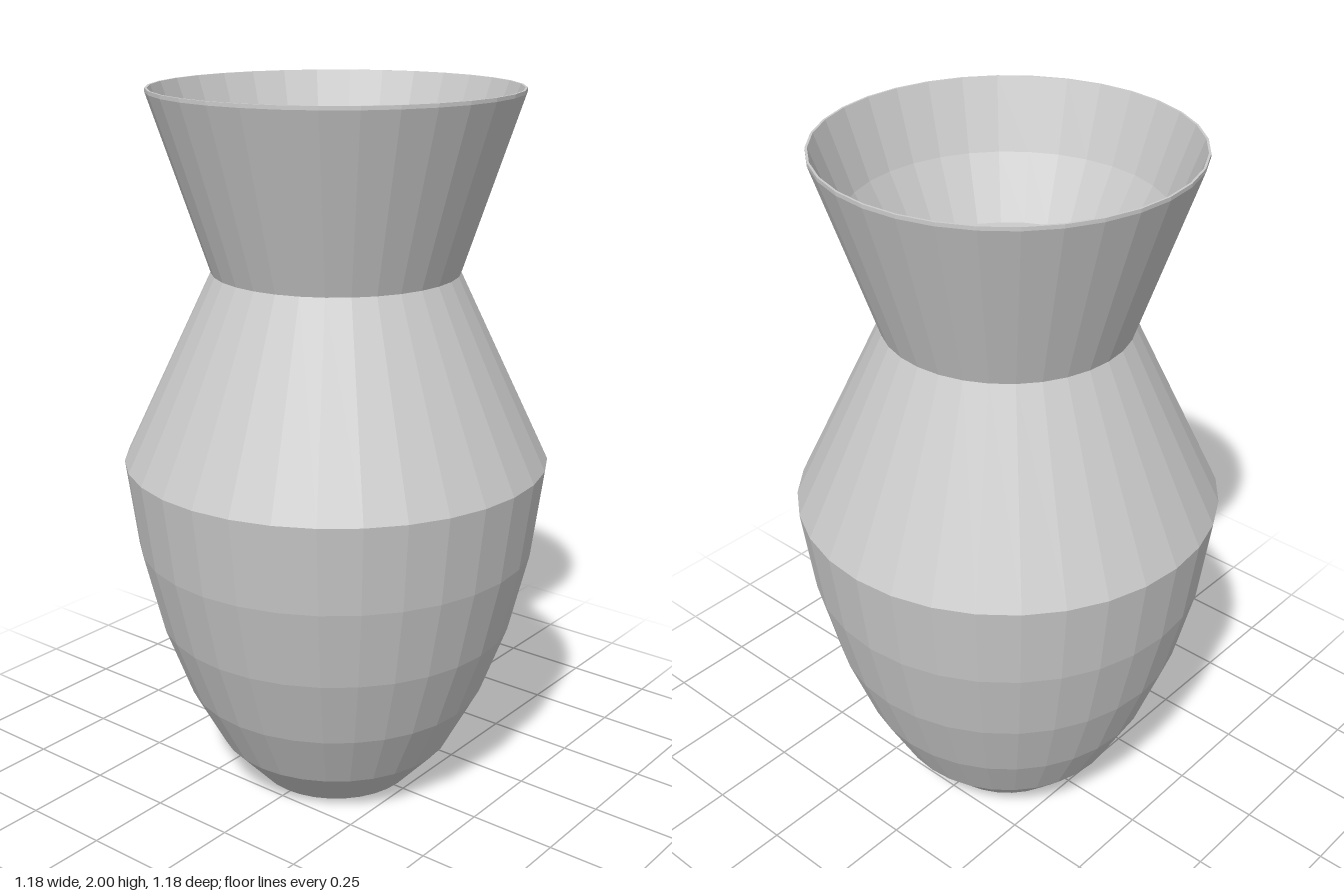
import * as THREE from 'three';

const SIDES = 32;

// Revolves a profile of [radius, height] pairs into a faceted part
function turned(name, profile) {
  const points = profile.map(([r, y]) => new THREE.Vector2(r, y));
  const material = new THREE.MeshStandardMaterial({
    color: 0xcccccc, flatShading: true, side: THREE.DoubleSide,
  });
  const mesh = new THREE.Mesh(new THREE.LatheGeometry(points, SIDES), material);
  mesh.name = name;
  return mesh;
}

export function createModel() {
  const vase = new THREE.Group();
  vase.name = 'vase';

  vase.add(
    // Bulging underside, recessed within the foot ring
    turned('underside', [[0, 0], [0.12, 0.02], [0.22, 0.08], [0.23, 0.01]]),

    // Rounded belly rising to the shoulder ridge
    turned('belly', [
      [0.23, 0.01], [0.34, 0.13], [0.43, 0.3],
      [0.505, 0.505], [0.56, 0.735], [0.592, 0.985],
    ]),

    // Sloping shoulder and flared neck
    turned('shoulder', [[0.592, 0.985], [0.34, 1.51]]),
    turned('neck', [[0.34, 1.51], [0.5, 1.99], [0.5, 2]]),

    // Thin lip, curved inner wall and flat inner floor
    turned('lip', [[0.5, 2], [0.494, 2]]),
    turned('innerWall', [[0.494, 2], [0.425, 1.81], [0.332, 1.64]]),
    turned('innerFloor', [[0.332, 1.64], [0, 1.64]]),
  );
  return vase;
}
